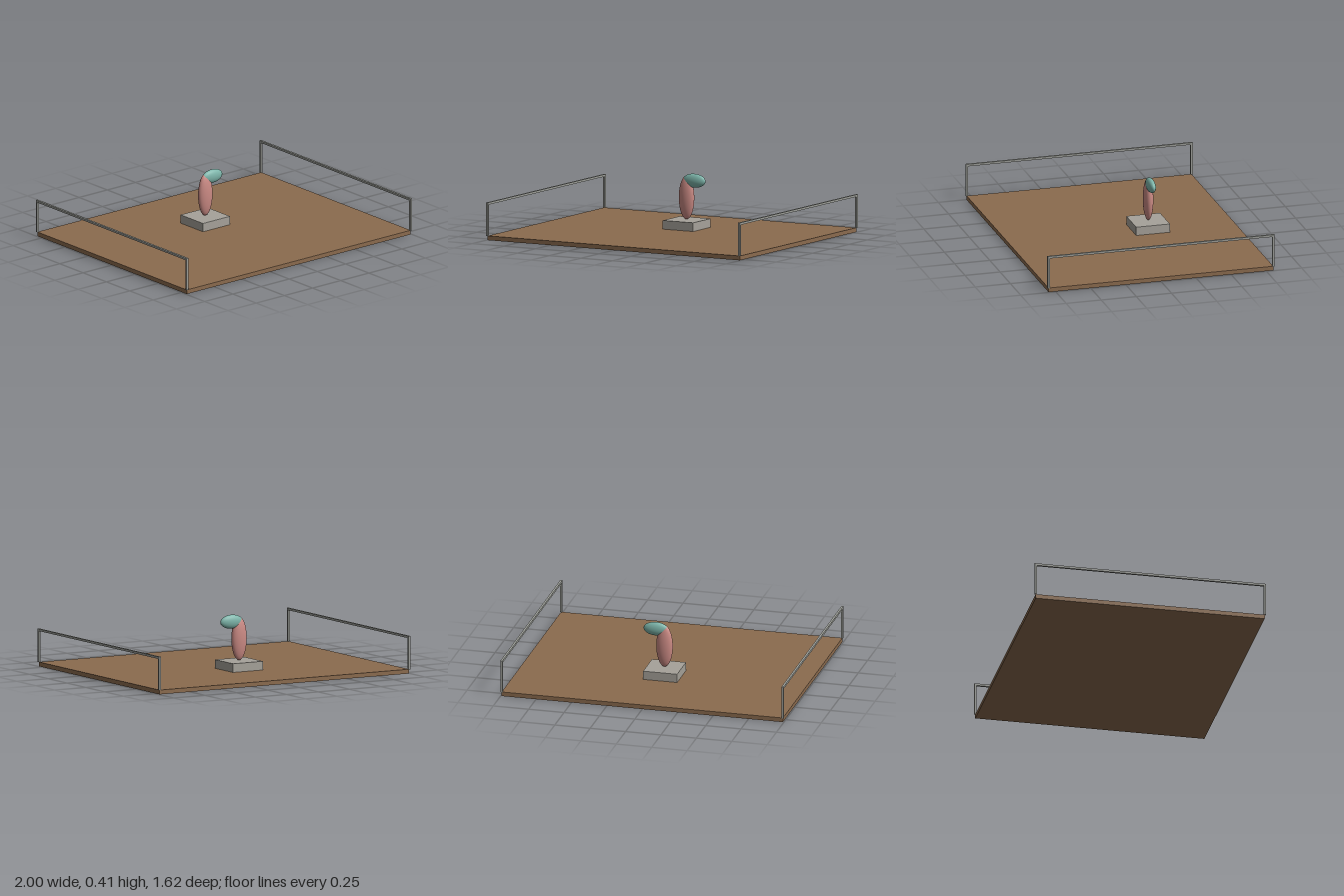
import * as THREE from 'three';

export function createModel() {
  const model = new THREE.Group();
  model.name = 'sculptureDeck';

  const material = (name, color) => {
    const m = new THREE.MeshStandardMaterial({ color });
    m.name = name;
    return m;
  };
  const wood = material('brown wood', 0x8b6b4e);
  const stone = material('grey stone', 0xa6a29a);
  const metal = material('grey metal', 0x9b9d97);
  const pink = material('dusty pink', 0xcb8a84);
  const teal = material('soft teal', 0x7db5aa);

  const add = (parent, name, geometry, mat, x, y, z) => {
    const mesh = new THREE.Mesh(geometry, mat);
    mesh.name = name;
    mesh.position.set(x, y, z);
    parent.add(mesh);
    return mesh;
  };
  const box = (w, h, d) => new THREE.BoxGeometry(w, h, d);
  const ellipsoid = (rx, ry, rz) => new THREE.SphereGeometry(1, 32, 20).scale(rx, ry, rz);

  // Flat deck
  add(model, 'deck', box(1.986, 0.03, 1.6), wood, 0, 0.015, 0);

  // Side railings: two end posts and a top bar on each side
  const bar = 0.015;
  for (const side of [-1, 1]) {
    const railing = new THREE.Group();
    railing.name = side > 0 ? 'leftRailing' : 'rightRailing';
    railing.position.x = side * 0.9925;
    add(railing, 'topRail', box(bar, bar, 1.6), metal, 0, 0.2525, 0);
    for (const end of [-1, 1]) {
      add(railing, end > 0 ? 'frontPost' : 'backPost', box(bar, 0.23, bar), metal, 0, 0.145, end * 0.8);
    }
    model.add(railing);
  }

  // Sculpture of two flattened ellipsoids on a plinth
  const sculpture = new THREE.Group();
  sculpture.name = 'sculpture';
  sculpture.position.z = -0.2;
  add(sculpture, 'plinth', box(0.24, 0.06, 0.24), stone, 0, 0.06, 0);
  add(sculpture, 'uprightForm', ellipsoid(0.058, 0.15, 0.034), pink, 0, 0.242, 0);
  add(sculpture, 'leaningForm', ellipsoid(0.088, 0.048, 0.028), teal, 0.06, 0.362, 0);
  model.add(sculpture);

  return model;
}
